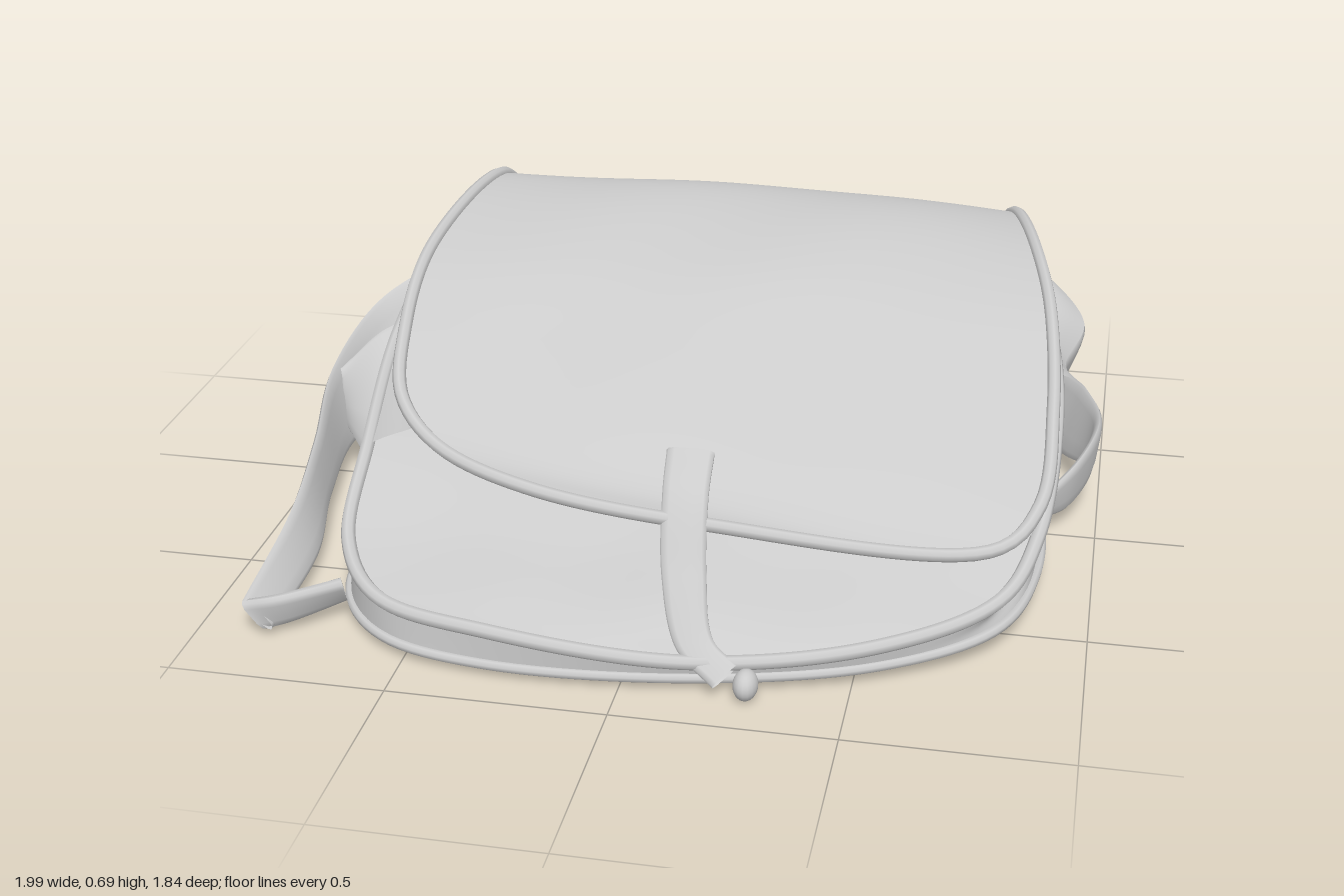
import * as THREE from 'three';

const material = new THREE.MeshStandardMaterial({ color: 0xcccccc, roughness: 0.9, side: THREE.DoubleSide });
const curve = (pts) => new THREE.CatmullRomCurve3(pts.map((p) => new THREE.Vector3(...p)));
const smooth = THREE.MathUtils.smoothstep;

// Cloth stretched between two edge curves; shape(p, u, t) bends it (u across, t along)
function cloth(a, b, rows, cols, shape = () => {}) {
  const A = curve(a), B = curve(b), pos = [], index = [];
  for (let i = 0; i <= rows; i++) {
    const t = i / rows, p = A.getPoint(t), q = B.getPoint(t);
    for (let j = 0; j <= cols; j++) {
      const v = p.clone().lerp(q, j / cols);
      shape(v, j / cols, t);
      pos.push(v.x, v.y, v.z);
      if (i < rows && j < cols) {
        const k = i * (cols + 1) + j, n = k + cols + 1;
        index.push(k, n, k + 1, k + 1, n, n + 1);
      }
    }
  }
  const g = new THREE.BufferGeometry();
  g.setAttribute('position', new THREE.Float32BufferAttribute(pos, 3));
  g.setIndex(index);
  g.computeVertexNormals();
  return g;
}

// Strap with a flattened oval cross-section between two edge curves
function band(a, b, thickness = 0.02) {
  const A = curve(a), B = curve(b), g = cloth(a, b, 48, 11), P = g.attributes.position;
  for (let i = 0; i <= 48; i++) {
    const t = i / 48, p = A.getPoint(t), q = B.getPoint(t);
    const n = A.getTangent(t).cross(q.clone().sub(p)).normalize();
    for (let j = 0; j <= 11; j++) {
      const angle = (j / 11) * Math.PI * 2;
      const c = Math.sign(Math.cos(angle)) * Math.abs(Math.cos(angle)) ** 0.5;
      const v = p.clone().lerp(q, 0.5 - 0.5 * c).addScaledVector(n, Math.sin(angle) * thickness * 0.6);
      P.setXYZ(i * 12 + j, v.x, v.y, v.z);
    }
  }
  g.computeVertexNormals();
  return g;
}

const tube = (pts, r) => new THREE.TubeGeometry(curve(pts), 160, r, 8);

// Side edges of the outer sheet: bottom front, underside, back, top, flap tip
const sheetL = [
  [-0.3, 0.035, 0.89], [-0.55, 0.04, 0.83], [-0.69, 0.045, 0.66], [-0.72, 0.06, 0.3],
  [-0.73, 0.07, -0.2], [-0.7, 0.09, -0.57], [-0.67, 0.16, -0.67], [-0.65, 0.38, -0.71],
  [-0.63, 0.56, -0.68], [-0.63, 0.66, -0.56], [-0.65, 0.685, -0.37], [-0.68, 0.635, 0],
  [-0.66, 0.55, 0.25], [-0.61, 0.46, 0.45], [-0.49, 0.4, 0.57], [-0.25, 0.365, 0.67]];
const sheetR = [
  [0.15, 0.035, 0.86], [0.55, 0.045, 0.75], [0.79, 0.06, 0.58], [0.87, 0.065, 0.3],
  [0.84, 0.06, -0.2], [0.76, 0.07, -0.72], [0.71, 0.12, -0.86], [0.69, 0.37, -0.91],
  [0.7, 0.51, -0.86], [0.73, 0.58, -0.73], [0.79, 0.605, -0.45], [0.85, 0.55, -0.15],
  [0.88, 0.42, 0.15], [0.87, 0.3, 0.42], [0.78, 0.25, 0.55], [0.15, 0.32, 0.68]];

// Side edges of the front panel, from its lower front to under the flap
const panelL = [
  [-0.3, 0.12, 0.89], [-0.57, 0.13, 0.81], [-0.69, 0.18, 0.65], [-0.72, 0.3, 0.4],
  [-0.77, 0.41, 0], [-0.76, 0.49, -0.28], [-0.69, 0.56, -0.52]];
const panelR = [
  [0.15, 0.08, 0.87], [0.55, 0.1, 0.76], [0.8, 0.14, 0.58], [0.87, 0.21, 0.4],
  [0.89, 0.33, 0.1], [0.86, 0.44, -0.2], [0.74, 0.55, -0.6]];

// Edges of the crumpled strap on the left side
const leftStrapTop = [
  [0.86, 0.12, 0.04], [0.95, 0.2, -0.05], [0.99, 0.24, -0.2], [0.95, 0.24, -0.38],
  [0.89, 0.23, -0.55], [0.93, 0.3, -0.67], [0.82, 0.39, -0.77], [0.7, 0.42, -0.86]];
const leftStrapBottom = [
  [0.85, 0.06, 0.02], [0.92, 0.06, -0.05], [0.97, 0.1, -0.18], [0.9, 0.06, -0.36],
  [0.83, 0.06, -0.55], [0.85, 0.08, -0.68], [0.78, 0.1, -0.76], [0.7, 0.12, -0.85]];

const around = (l, r) => [...[...l].reverse(), ...r];

export function createModel() {
  const bag = new THREE.Group();
  bag.name = 'satchel';
  const add = (name, geometry) => {
    const mesh = new THREE.Mesh(geometry, material);
    mesh.name = name;
    bag.add(mesh);
    return mesh;
  };

  // Underside, back and flap in one piece, with a slight swell on the flap
  add('outerShellAndFlap', cloth(sheetL, sheetR, 120, 32, (p, u, t) => {
    const top = smooth(t, 0.52, 0.66) * (1 - smooth(t, 0.85, 1));
    p.y += top * (0.035 * Math.sin(u ** 1.4 * Math.PI) + 0.005 * Math.sin(p.x * 9 + p.z * 6) * Math.sin(u * Math.PI));
    if (t < 0.4) p.y += 0.012 * Math.sin(t / 0.4 * Math.PI) * Math.sin(u * Math.PI * 3);
  }));

  // Front panel beneath the flap
  add('frontPanel', cloth(panelL, panelR, 60, 28, (p, u, t) => {
    const s = Math.sin(u * Math.PI) * Math.sin(Math.min(t * 2, 1) * Math.PI);
    p.y += 0.035 * s + 0.006 * s * Math.sin(p.x * 14);
  }));

  // Side and lower gusset, sagging inward between its two seams
  add('gusset', cloth(
    around(sheetL.slice(0, 8), sheetR.slice(0, 8)),
    around([...panelL, sheetL[8]], [...panelR, sheetR[8]]), 140, 14, (p, u) => {
      const sag = Math.sin(u * Math.PI) * (1 - smooth(p.z, 0.3, 0.75));
      p.x *= 1 - sag * (0.035 + 0.025 * Math.sin(p.z * 11 + u * 5));
    }));

  // Folds tucked in between the flap and the front panel on each side
  for (const [name, sheet, panel] of [['rightTuck', sheetL, panelL], ['leftTuck', sheetR, panelR]])
    add(name, cloth(sheet.slice(9, 14), [...panel.slice(3), sheet[8]].reverse(), 40, 12, (p, u) => {
      p.x *= 1 - Math.sin(u * Math.PI) * (0.1 + 0.03 * Math.sin(p.z * 9 + u * 8));
    }));

  // Rolled bindings
  add('flapBinding', tube(around(sheetL.slice(6).reverse(), sheetR.slice(6).reverse()), 0.016));
  add('lowerBinding', tube(around(sheetL.slice(0, 8), sheetR.slice(0, 8)), 0.013));
  add('panelBinding', tube(around(panelL, panelR), 0.017));

  // Closing strap with a knob at its end
  add('closingStrap', band(
    [[0.04, 0.43, 0.55], [0.05, 0.37, 0.65], [0.07, 0.23, 0.76], [0.12, 0.1, 0.85], [0.21, 0.04, 0.9]],
    [[0.15, 0.43, 0.55], [0.155, 0.37, 0.65], [0.17, 0.23, 0.75], [0.2, 0.12, 0.83], [0.26, 0.08, 0.86]], 0.025));
  const knob = add('strapKnob', new THREE.SphereGeometry(0.035, 16, 12));
  knob.position.set(0.28, 0.045, 0.88);
  knob.scale.set(0.8, 1, 1.1);

  // Long shoulder strap on the right side, wide where it is crumpled
  add('shoulderStrap', band(
    [[-0.7, 0.42, -0.52], [-0.84, 0.38, -0.54], [-0.95, 0.33, -0.42], [-0.985, 0.26, -0.1],
      [-0.93, 0.2, 0.2], [-0.89, 0.15, 0.5], [-0.89, 0.09, 0.82]],
    [[-0.68, 0.22, -0.48], [-0.76, 0.12, -0.44], [-0.85, 0.06, -0.28], [-0.93, 0.06, -0.1],
      [-0.9, 0.05, 0.2], [-0.83, 0.04, 0.5], [-0.82, 0.03, 0.83]]));
  add('shoulderStrapReturn', band(
    [[-0.89, 0.09, 0.82], [-0.81, 0.11, 0.82], [-0.68, 0.12, 0.74]],
    [[-0.84, 0.02, 0.81], [-0.79, 0.03, 0.78], [-0.69, 0.05, 0.69]], 0.03));
  add('strapFold', band(
    [[-0.74, 0.32, -0.36], [-0.87, 0.33, -0.22], [-0.97, 0.25, -0.11]],
    [[-0.72, 0.1, 0.38], [-0.83, 0.1, 0.12], [-0.96, 0.12, -0.08]]));
  add('strapTab', band(
    [[-0.63, 0.64, -0.5], [-0.7, 0.57, -0.52], [-0.75, 0.45, -0.54], [-0.72, 0.35, -0.55]],
    [[-0.65, 0.63, -0.4], [-0.72, 0.56, -0.43], [-0.77, 0.44, -0.46], [-0.73, 0.35, -0.47]], 0.025));

  // Crumpled strap on the left side, closed over the top at its back end
  add('leftStrap', band(leftStrapTop, leftStrapBottom));
  add('leftStrapFold', cloth(leftStrapTop.slice(3),
    [[0.84, 0.32, -0.25], [0.8, 0.32, -0.5], [0.77, 0.38, -0.62], [0.74, 0.41, -0.74], [0.69, 0.42, -0.85]], 30, 8,
    (p, u) => { p.y += 0.02 * Math.sin(u * Math.PI); }));

  return bag;
}
